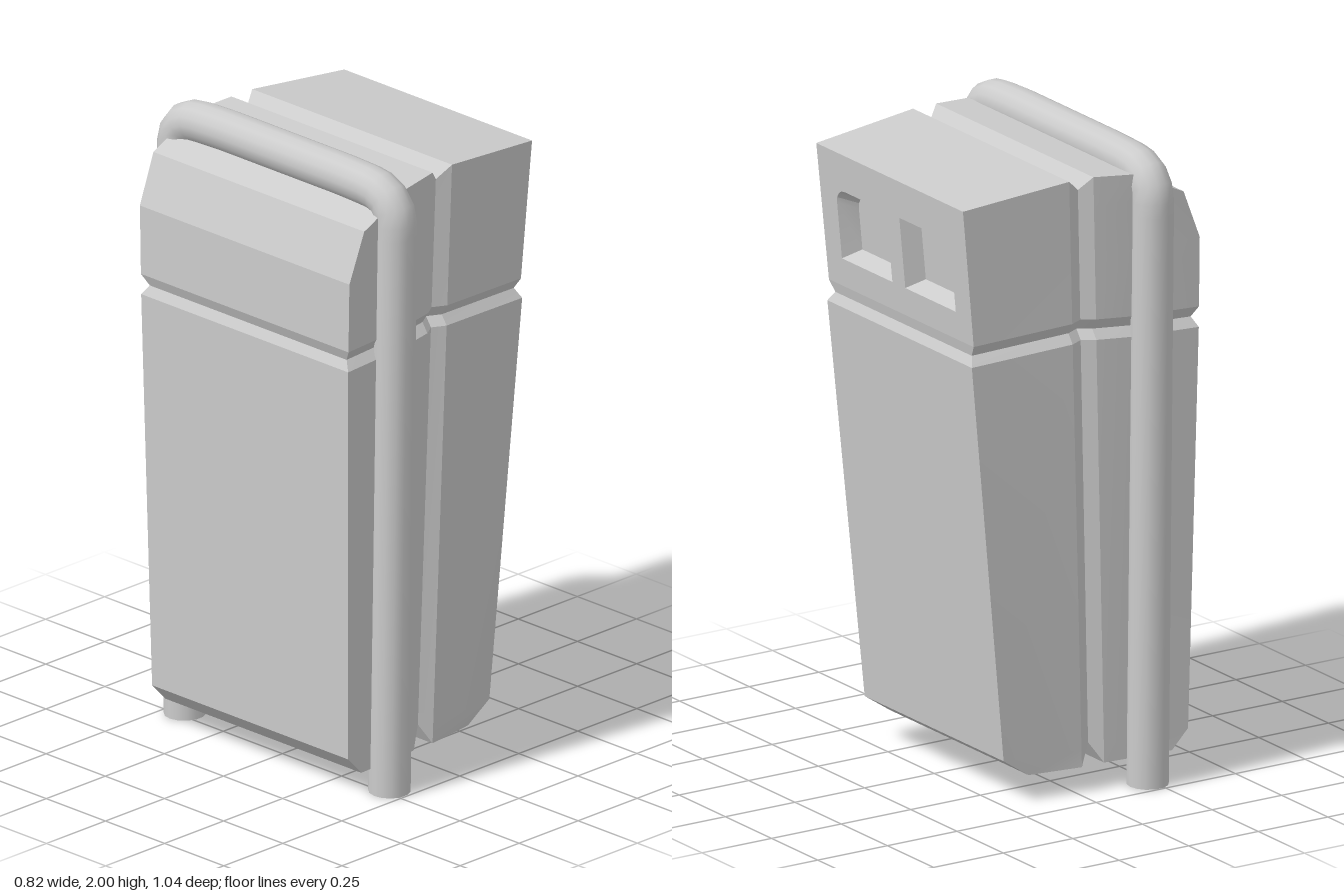
import * as THREE from 'three';
import { toCreasedNormals } from 'three/addons/utils/BufferGeometryUtils.js';

const lerp = THREE.MathUtils.lerp;
const material = new THREE.MeshStandardMaterial({ color: 0xcccccc });

function addMesh(parent, name, geometry) {
  const mesh = new THREE.Mesh(geometry, material);
  mesh.name = name;
  parent.add(mesh);
  return mesh;
}

// Geometry from a list of four-cornered faces, corners anticlockwise
function fromQuads(quads) {
  const pos = [];
  for (const [a, b, c, d] of quads) {
    for (const p of [a, b, c, a, c, d]) pos.push(...p);
  }
  const g = new THREE.BufferGeometry();
  g.setAttribute('position', new THREE.Float32BufferAttribute(pos, 3));
  return toCreasedNormals(g, 0.35);
}

// Body levels: height, back x, front x, inset of the waist groove
const ROWS = [
  [0.08, -0.33, 0.16, 0],
  [0.14, -0.387, 0.25, 0],
  [1.405, -0.41, 0.374, 0],
  [1.435, -0.395, 0.36, 0.022],
  [1.47, -0.41, 0.368, 0],
  [1.69, -0.41, 0.389, 0],
  [1.845, -0.35, 0.404, 0],
  [1.905, -0.295, 0.41, 0],
];
// Body columns from back to front: x at bottom and top, half width at bottom and top, top height, waist lift
const COLS = [
  [0, 0, 0.413, 0.447, 1.87, 0],
  [-0.2, -0.17, 0.408, 0.443, 1.93, 0.01],
  [-0.095, -0.04, 0.4, 0.425, 1.94, 0.018],
  [-0.055, 0, 0.375, 0.4, 1.9, 0.018],
  [-0.015, 0.045, 0.4, 0.422, 1.94, 0.018],
  [0, 0, 0.375, 0.397, 1.905, 0],
];
const TOP = ROWS.length - 1, FRONT = COLS.length - 1, WAIST = 4;

// Corner of the body grid: x, y and half width
function corner(j, i) {
  const [rowY, backX, frontX, inset] = ROWS[i];
  const [x0, x1, w0, w1, topY, lift] = COLS[j];
  let y = i === TOP ? topY : rowY;
  if (i >= 2 && i <= 4) y += lift;
  if (j === 3 && i < 2) y += 0.065; // notch under the split
  const t = (y - 0.08) / 1.85;
  const x = j === 0 ? backX : j === FRONT ? frontX : lerp(x0, x1, t);
  return [x, y, lerp(w0, w1, t) - inset];
}

function bodyGeometry() {
  const quads = [];
  const at = (j, i, s) => {
    const [x, y, w] = corner(j, i);
    return [x, y, s * w];
  };
  // Side walls
  for (let j = 0; j < FRONT; j++) {
    for (let i = 0; i < TOP; i++) {
      const cell = [[j, i], [j + 1, i], [j + 1, i + 1], [j, i + 1]];
      quads.push(cell.map(([a, b]) => at(a, b, 1)));
      quads.push(cell.reverse().map(([a, b]) => at(a, b, -1)));
    }
  }
  // Strip round the bottom, front, top and back
  const loop = [];
  for (let j = 0; j < FRONT; j++) loop.push([j, 0]);
  for (let i = 0; i < TOP; i++) loop.push([FRONT, i]);
  for (let j = FRONT; j > 0; j--) loop.push([j, TOP]);
  for (let i = TOP; i > 0; i--) loop.push([0, i]);
  loop.forEach((a, k) => {
    const b = loop[(k + 1) % loop.length];
    if (a[0] === FRONT && b[0] === FRONT && a[1] >= WAIST) return; // slot panel goes here
    quads.push([at(...a, 1), at(...a, -1), at(...b, -1), at(...b, 1)]);
  });
  return fromQuads(quads);
}

// Point on the sloping slot panel, u across, v up, d inwards
function onPanel(u, v, d) {
  const a = corner(FRONT, WAIST), b = corner(FRONT, TOP);
  return [lerp(a[0], b[0], (v - a[1]) / (b[1] - a[1])) - d, v, -u];
}

function panelGeometry(shape, depth) {
  const g = new THREE.ShapeGeometry(shape);
  const p = g.attributes.position;
  for (let i = 0; i < p.count; i++) p.setXYZ(i, ...onPanel(p.getX(i), p.getY(i), depth));
  g.computeVertexNormals();
  return g;
}

// Slot outline with one rounded upper outer corner
function slotOutline(side, inset) {
  const u0 = 0.035 + inset, u1 = 0.308 - inset, v0 = 1.56 + inset, v1 = 1.785 - inset;
  const r = 0.045, pts = [new THREE.Vector2(u0, v0), new THREE.Vector2(u1, v0)];
  for (let k = 0; k <= 4; k++) {
    const a = (k / 4) * Math.PI / 2;
    pts.push(new THREE.Vector2(u1 - r + r * Math.cos(a), v1 - r + r * Math.sin(a)));
  }
  pts.push(new THREE.Vector2(u0, v1));
  if (side < 0) {
    pts.forEach((p) => { p.x = -p.x; });
    pts.reverse();
  }
  return pts;
}

function addSlots(group) {
  const depth = 0.06;
  const low = corner(FRONT, WAIST), high = corner(FRONT, TOP);
  const panel = new THREE.Shape([
    new THREE.Vector2(-low[2], low[1]), new THREE.Vector2(low[2], low[1]),
    new THREE.Vector2(high[2], high[1]), new THREE.Vector2(-high[2], high[1]),
  ]);
  for (const side of [-1, 1]) {
    const outer = slotOutline(side, 0), inner = slotOutline(side, 0.024);
    panel.holes.push(new THREE.Path(outer));
    const walls = outer.map((a, k) => {
      const n = (k + 1) % outer.length;
      return [
        onPanel(a.x, a.y, 0), onPanel(outer[n].x, outer[n].y, 0),
        onPanel(inner[n].x, inner[n].y, depth), onPanel(inner[k].x, inner[k].y, depth),
      ];
    });
    const name = side < 0 ? 'leftSlot' : 'rightSlot';
    addMesh(group, name + 'Walls', fromQuads(walls));
    addMesh(group, name + 'Floor', panelGeometry(new THREE.Shape(inner), depth));
  }
  addMesh(group, 'slotPanel', panelGeometry(panel, 0));
}

// Bent tube that carries the bin
function addFrame(group) {
  const x = -0.23, r = 0.064, top = 1.936;
  const v = (y, z) => new THREE.Vector3(x, y, z);
  const path = new THREE.CurvePath();
  path.add(new THREE.LineCurve3(v(0, 0.432), v(1.83, 0.46)));
  path.add(new THREE.QuadraticBezierCurve3(v(1.83, 0.46), v(1.925, 0.461), v(top - 0.004, 0.36)));
  path.add(new THREE.LineCurve3(v(top - 0.004, 0.36), v(top, 0.25)));
  path.add(new THREE.LineCurve3(v(top, 0.25), v(top, -0.25)));
  path.add(new THREE.LineCurve3(v(top, -0.25), v(top - 0.004, -0.36)));
  path.add(new THREE.QuadraticBezierCurve3(v(top - 0.004, -0.36), v(1.925, -0.461), v(1.83, -0.46)));
  path.add(new THREE.LineCurve3(v(1.83, -0.46), v(0, -0.432)));
  addMesh(group, 'tubeFrame', new THREE.TubeGeometry(path, 120, r, 14));
  for (const s of [1, -1]) {
    const foot = addMesh(group, s > 0 ? 'leftFoot' : 'rightFoot', new THREE.CircleGeometry(r, 14));
    foot.rotation.x = Math.PI / 2;
    foot.position.set(x, 0.001, s * 0.432);
  }
}

export function createModel() {
  const group = new THREE.Group();
  group.name = 'litterBin';
  addMesh(group, 'body', bodyGeometry());
  addSlots(group);
  addFrame(group);
  return group;
}
